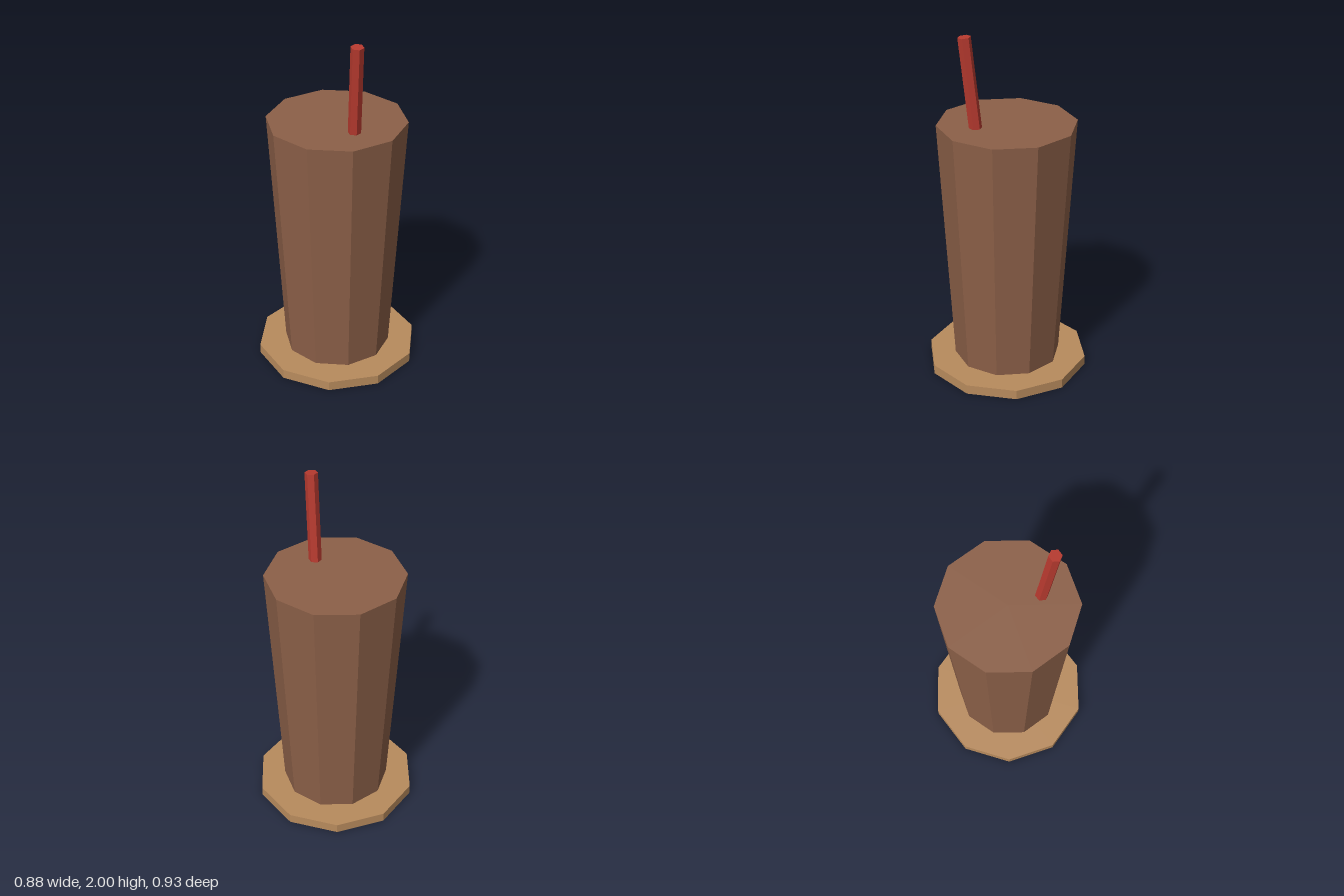
import * as THREE from 'three';

const material = (name, color) => {
  const m = new THREE.MeshStandardMaterial({ color, flatShading: true });
  m.name = name;
  return m;
};

// Faceted cylinder standing between two heights
function prism(name, mat, rTop, rBottom, y0, y1, sides) {
  const geo = new THREE.CylinderGeometry(rTop, rBottom, y1 - y0, sides);
  const mesh = new THREE.Mesh(geo, mat);
  mesh.name = name;
  mesh.position.y = (y0 + y1) / 2;
  return mesh;
}

export function createModel() {
  const group = new THREE.Group();
  group.name = 'drinkOnCoaster';

  // Ten-sided coaster, a corner towards the front
  const coaster = prism('coaster', material('tan', 0xb88b5d), 0.463, 0.463, 0, 0.055, 10);

  // Tapered ten-sided drink, a flat side towards the front
  const drink = prism('drink', material('brown', 0x8c6048), 0.39, 0.305, 0.055, 1.485, 10);
  drink.rotation.y = Math.PI / 2;

  // Leaning hexagonal straw, its lower end sunk into the drink
  const top = new THREE.Vector3(0.221, 1.996, 0.092);
  const bottom = new THREE.Vector3(0.169, 1.385, 0.053);
  const axis = top.clone().sub(bottom);
  const straw = prism('straw', material('red', 0xb83a2f), 0.036, 0.036, 0, axis.length(), 6);
  straw.position.copy(top).add(bottom).multiplyScalar(0.5);
  straw.quaternion.setFromUnitVectors(new THREE.Vector3(0, 1, 0), axis.normalize());

  group.add(coaster, drink, straw);
  return group;
}
